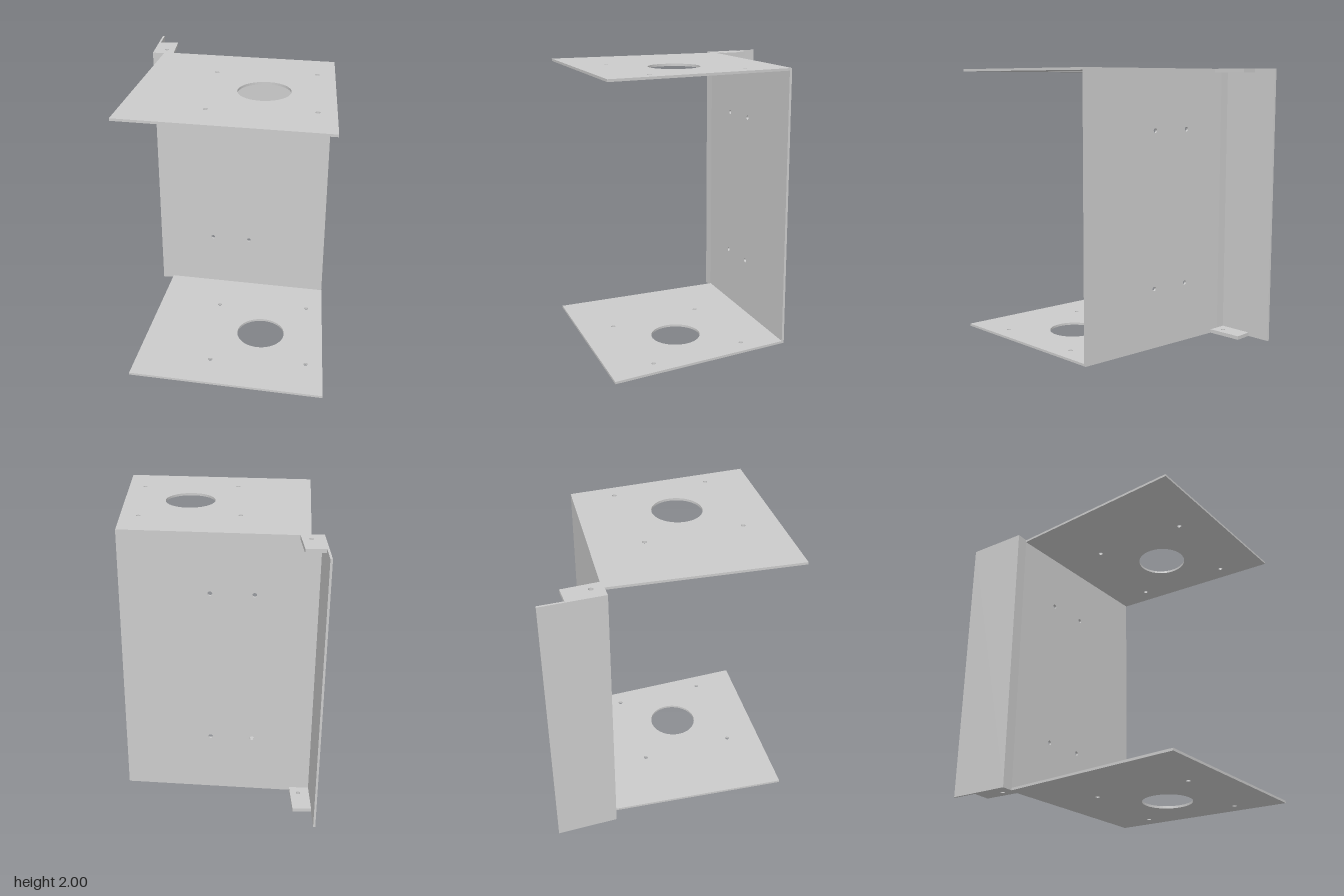
import * as THREE from 'three';

const material = new THREE.MeshStandardMaterial({ color: 0xcccccc, flatShading: true });

// Extrude an outline with round holes [x, y, radius]
function sheet(name, points, holes, depth) {
  const shape = new THREE.Shape(points.map(([x, y]) => new THREE.Vector2(x, y)));
  for (const [x, y, r] of holes) {
    shape.holes.push(new THREE.Path().absarc(x, y, r, 0, Math.PI * 2, true));
  }
  const geometry = new THREE.ExtrudeGeometry(shape, { depth, bevelEnabled: false, curveSegments: 24 });
  const mesh = new THREE.Mesh(geometry, material);
  mesh.name = name;
  return mesh;
}

// Sheet drawn in plan as x, z and extruded upwards from y
function planSheet(name, points, holes, y, height) {
  const mesh = sheet(name, points.map(([x, z]) => [x, -z]), holes.map(([x, z, r]) => [x, -z, r]), height);
  mesh.geometry.rotateX(-Math.PI / 2);
  mesh.position.y = y;
  return mesh;
}

export function createModel() {
  const group = new THREE.Group();
  group.name = 'sheetMetalBracket';
  const H = 2, T = 0.017, tabT = 0.027, r = 0.016;

  // Upright back panel with four mounting holes
  const panelHoles = [];
  for (const x of [-0.29, 0.01]) for (const y of [0.44, 1.57]) panelHoles.push([x, y, r]);
  const panel = sheet('backPanel', [[-0.645, 0], [0.63, 0], [0.63, H], [-0.645, H]], panelHoles, T);
  panel.position.z = -0.46;
  group.add(panel);

  // Bent edge strip and rearward flange, folded from one profile
  group.add(planSheet('sideFlange', [
    [-0.645, -0.443], [-0.73, -0.437], [-0.768, -0.873],
    [-0.753, -0.873], [-0.717, -0.455], [-0.645, -0.46],
  ], [], 0, H));

  // Top and bottom plates with a large opening and four screw holes
  const plate = [[-0.645, -0.443], [-0.645, 0.87], [0.76, 0.87], [0.631, -0.443]];
  const plateHoles = [
    [0.22, 0.23, 0.18], [-0.166, -0.088, r], [0.534, -0.157, r], [0.605, 0.545, r], [-0.097, 0.614, r],
  ];
  // Small rear tabs beside the flange
  const tab = [[-0.739, -0.7], [-0.718, -0.455], [-0.645, -0.46], [-0.575, -0.46], [-0.605, -0.714]];
  const tabHoles = [[-0.66, -0.647, r], [-0.644, -0.527, r]];
  for (const [side, top] of [['bottom', false], ['top', true]]) {
    group.add(planSheet(side + 'Plate', plate, plateHoles, top ? H - T : 0, T));
    group.add(planSheet(side + 'Tab', tab, tabHoles, top ? H - tabT : 0, tabT));
  }
  return group;
}
